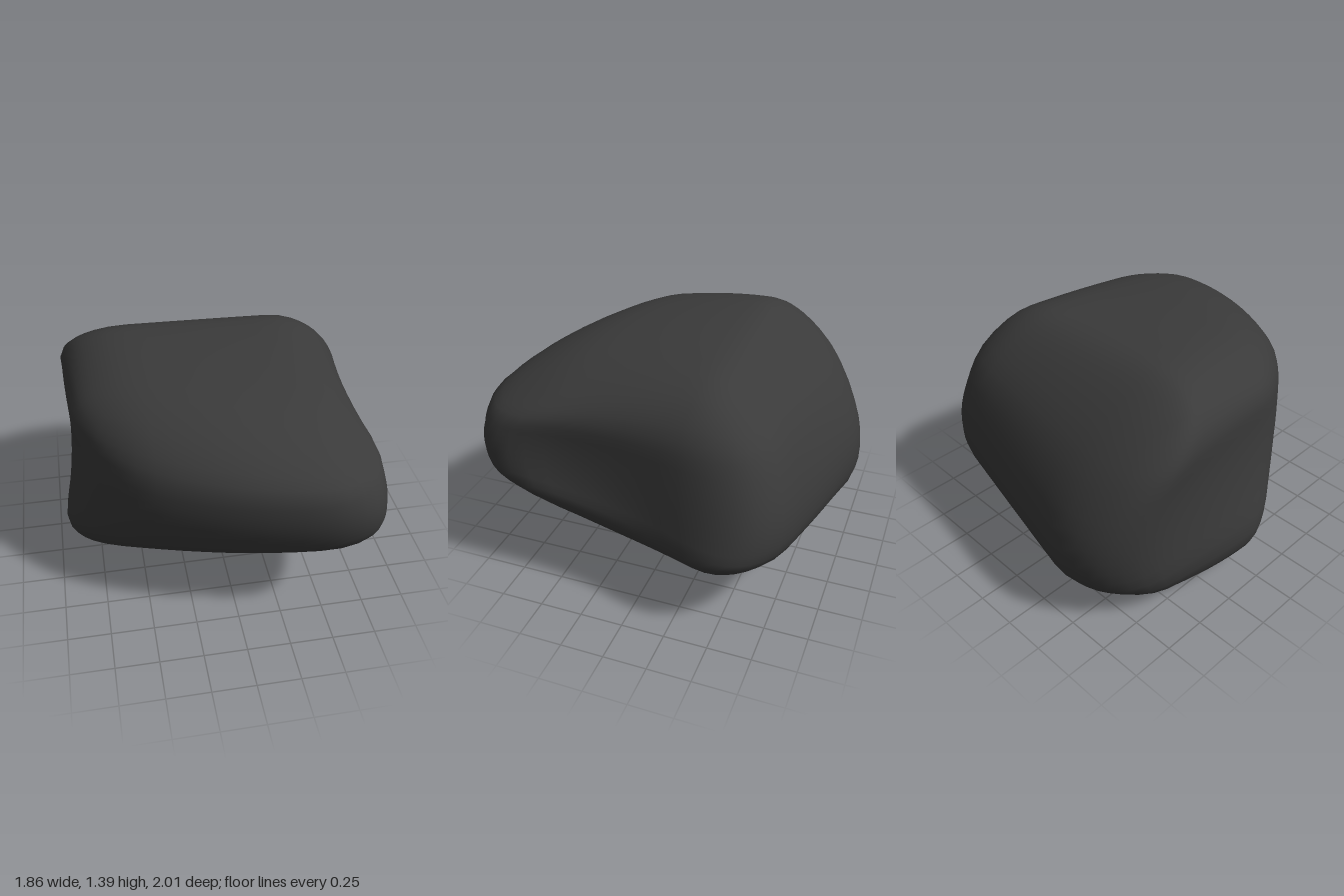
import * as THREE from 'three';
import { mergeVertices } from 'three/addons/utils/BufferGeometryUtils.js';

// Control lattice: layers from bottom to top, rows from back to front,
// three points per row from right (-x) to left (+x)
const LATTICE = [
  [ // underside
    [[-0.72, 0.0, -0.68], [0.05, 0.18, -0.82], [1.05, 0.36, -0.56]],
    [[-0.98, -0.06, -0.25], [0, 0.1, -0.1], [0.87, 0.36, -0.05]],
    [[-1.1, 0.07, 0.02], [-0.05, 0.3, 0.55], [0.8, 0.62, 1.03]],
  ],
  [ // waist
    [[-0.78, 0.55, -1.1], [0.1, 0.68, -0.9], [1.04, 0.75, -0.77]],
    [[-0.86, 0.75, -0.25], [0, 0.7, 0], [0.75, 0.8, 0.2]],
    [[-0.83, 0.75, 0.43], [-0.05, 0.78, 0.87], [0.92, 0.92, 1.05]],
  ],
  [ // top
    [[-1.02, 1.41, -0.45], [0, 1.33, -0.58], [0.68, 1.4, -0.53]],
    [[-0.92, 1.36, -0.15], [-0.05, 1.38, 0], [0.77, 1.29, 0.05]],
    [[-0.9, 1.26, 0.26], [0, 1.27, 0.84], [0.71, 1.12, 0.82]],
  ],
];

const ROUNDING = 0.5;

// Round off the edges of a cube that spans -1 to 1
function roundCube(p) {
  const k = 1 - ROUNDING;
  const core = p.clone().clampScalar(-k, k);
  return p.sub(core).setLength(ROUNDING).add(core);
}

// Quadratic weights of the three lattice positions -1, 0 and 1
const weights = (t) => [(t * (t - 1)) / 2, 1 - t * t, (t * (t + 1)) / 2];

// Carry a point of the cube through the lattice
function warp(p) {
  const [wx, wy, wz] = [p.x, p.y, p.z].map(weights);
  const out = new THREE.Vector3();
  const control = new THREE.Vector3();
  LATTICE.forEach((layer, j) => layer.forEach((row, k) => row.forEach((point, i) => {
    out.addScaledVector(control.fromArray(point), wx[i] * wy[j] * wz[k]);
  })));
  return out;
}

export function createModel() {
  const group = new THREE.Group();
  group.name = 'rock';

  let geometry = new THREE.BoxGeometry(2, 2, 2, 16, 16, 16);
  geometry.deleteAttribute('uv');
  geometry.deleteAttribute('normal');
  geometry = mergeVertices(geometry, 1e-4);

  const position = geometry.attributes.position;
  const p = new THREE.Vector3();
  for (let i = 0; i < position.count; i++) {
    p.fromBufferAttribute(position, i);
    const q = warp(roundCube(p));
    position.setXYZ(i, q.x, q.y, q.z);
  }
  geometry.computeVertexNormals();

  const boulder = new THREE.Mesh(geometry, new THREE.MeshStandardMaterial({ color: 0x3a3a3a }));
  boulder.name = 'boulder';
  group.add(boulder);
  return group;
}
